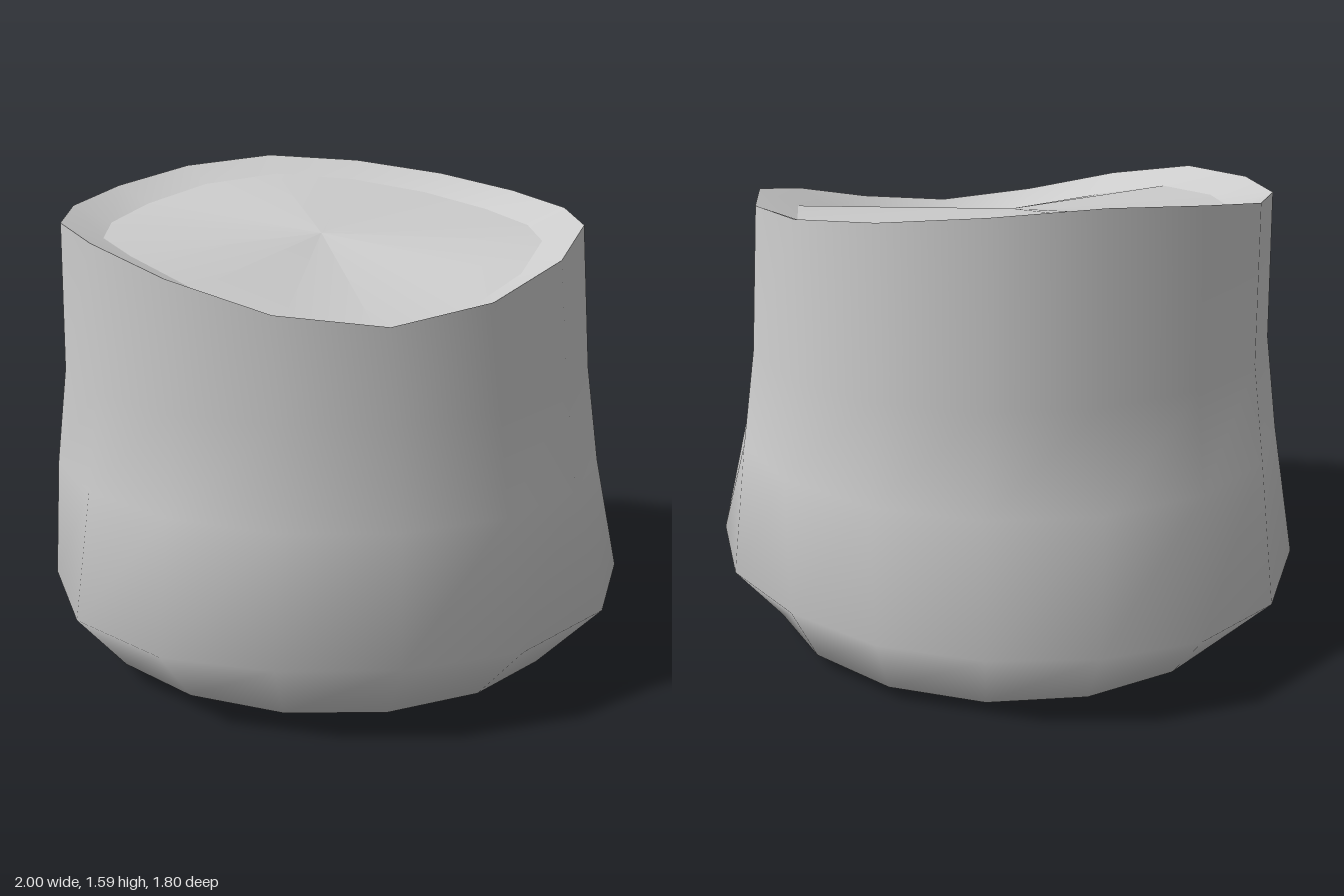
import * as THREE from 'three';

const SIDES = 16;
const TAU = Math.PI * 2;

// Height of the wavy cut edge, going round from the front (+z) towards +x
const RIM = [1.32, 1.285, 1.33, 1.41, 1.47, 1.48, 1.5, 1.535, 1.57, 1.59, 1.565, 1.52, 1.49, 1.48, 1.465, 1.4];

// Uneven outline [x, z] of the bulge near the foot
const BULGE = [
  [-0.01, 0.9], [0.36, 0.83], [0.71, 0.65], [0.95, 0.31], [1, -0.08], [0.87, -0.42], [0.62, -0.67], [0.32, -0.84],
  [-0.02, -0.9], [-0.36, -0.86], [-0.67, -0.73], [-0.9, -0.48], [-1, -0.09], [-0.9, 0.31], [-0.7, 0.67], [-0.37, 0.87],
];

// Oval ring between the given extents; height is a number or a function of the index
function oval(left, right, back, front, height) {
  return Array.from({ length: SIDES }, (_, i) => {
    const a = (i / SIDES) * TAU;
    return [
      (left + right) / 2 + Math.sin(a) * (right - left) / 2,
      typeof height === 'function' ? height(i) : height,
      (back + front) / 2 + Math.cos(a) * (front - back) / 2,
    ];
  });
}

const point = (x, y, z) => Array.from({ length: SIDES }, () => [x, y, z]);

// Skin a stack of rings with quads, smooth within the one surface
function loft(name, rings) {
  const index = [];
  for (let j = 0; j < rings.length - 1; j++) {
    for (let i = 0; i < SIDES; i++) {
      const n = (i + 1) % SIDES;
      const a = j * SIDES + i, b = j * SIDES + n;
      index.push(a, b, b + SIDES, a, b + SIDES, a + SIDES);
    }
  }
  const geometry = new THREE.BufferGeometry();
  geometry.setAttribute('position', new THREE.Float32BufferAttribute(rings.flat(2), 3));
  geometry.setIndex(index);
  geometry.computeVertexNormals();
  const mesh = new THREE.Mesh(geometry, new THREE.MeshStandardMaterial({ color: 0xcccccc }));
  mesh.name = name;
  return mesh;
}

export function createModel() {
  const group = new THREE.Group();
  group.name = 'stump';

  const foot = oval(-0.63, 0.62, -0.63, 0.6, 0);
  const lip = oval(-0.87, 0.83, -0.74, 0.82, (i) => RIM[i]);
  const inner = oval(-0.74, 0.7, -0.61, 0.68, (i) => RIM[i] - 0.055);

  // Flared side wall, from the foot up to the wavy edge
  group.add(loft('body', [
    foot,
    oval(-0.83, 0.81, -0.79, 0.76, 0.05),
    BULGE.map(([x, z]) => [x, 0.265, z]),
    oval(-0.93, 0.915, -0.81, 0.85, 0.68),
    oval(-0.885, 0.868, -0.75, 0.818, 1),
    lip,
  ]));

  // Sloping band inside the edge, and the sunken cut face
  group.add(loft('rim', [lip, inner]));
  group.add(loft('topFace', [inner, point(-0.02, 1.42, 0.035)]));

  // Flat underside
  group.add(loft('underside', [point(0, 0, -0.015), foot]));

  return group;
}
